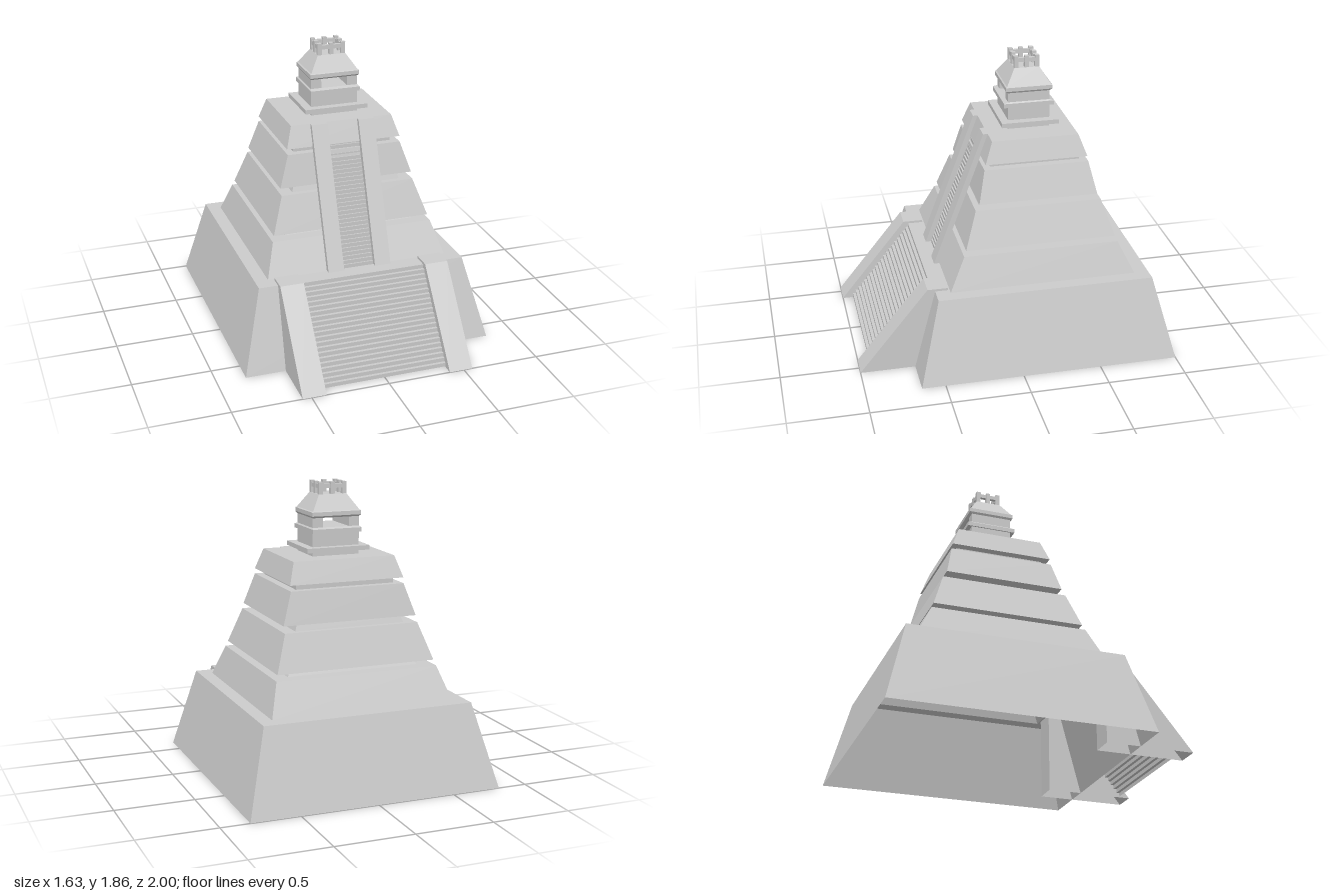
import * as THREE from 'three';

const CZ = -0.175; // z of the pyramid's axis
const mat = new THREE.MeshStandardMaterial({ color: 0xcccccc, flatShading: true, side: THREE.DoubleSide });

function add(parent, name, geo, x = 0, y = 0, z = 0) {
  const mesh = new THREE.Mesh(geo, mat);
  mesh.name = name;
  mesh.position.set(x, y, z);
  parent.add(mesh);
  return mesh;
}

// Skin between successive rows of points, flat shaded
function skin(rows, closed) {
  const pos = [];
  const n = rows[0].length;
  for (let i = 0; i < rows.length - 1; i++) {
    for (let j = 0; j < (closed ? n : n - 1); j++) {
      const k = (j + 1) % n;
      const a = rows[i][j], b = rows[i][k], c = rows[i + 1][k], d = rows[i + 1][j];
      pos.push(...a, ...b, ...c, ...a, ...c, ...d);
    }
  }
  const geo = new THREE.BufferGeometry();
  geo.setAttribute('position', new THREE.Float32BufferAttribute(pos, 3));
  geo.computeVertexNormals();
  return geo;
}

// Rectangular shell from a profile of [y, half width, half depth]
const tower = (profile) => skin(profile.map(([y, w, d]) =>
  [[-w, y, d], [w, y, d], [w, y, -d], [-w, y, -d]]), true);

// Zigzag flight of steps rising from (z0, y0) to (z1, y1)
function steps(count, halfWidth, z0, y0, z1, y1) {
  const rows = [];
  const row = (y, z) => rows.push([[-halfWidth, y, z], [halfWidth, y, z]]);
  for (let i = 0; i < count; i++) {
    const z = z0 + (z1 - z0) * i / count;
    row(y0 + (y1 - y0) * i / count, z);
    row(y0 + (y1 - y0) * (i + 1) / count, z);
  }
  row(y1, z1);
  return skin(rows, false);
}

// Side outline in (z, y) given thickness in x, without faces on the ground
function rail(outline, width) {
  const shape = new THREE.Shape(outline.map(([z, y]) => new THREE.Vector2(z, y)));
  const src = new THREE.ExtrudeGeometry(shape, { depth: width, bevelEnabled: false });
  src.rotateY(-Math.PI / 2).translate(width / 2, 0, 0);
  const p = src.attributes.position, pos = [];
  for (let i = 0; i < p.count; i += 3) {
    if (Math.max(p.getY(i), p.getY(i + 1), p.getY(i + 2)) < 1e-4) continue;
    for (let j = i; j < i + 3; j++) pos.push(p.getX(j), p.getY(j), p.getZ(j));
  }
  const geo = new THREE.BufferGeometry();
  geo.setAttribute('position', new THREE.Float32BufferAttribute(pos, 3));
  geo.computeVertexNormals();
  return geo;
}

export function createModel() {
  const model = new THREE.Group();
  model.name = 'steppedPyramid';

  // Hollow base and four tiers separated by recessed necks
  add(model, 'tiers', tower([
    [0, 0.815, 0.825], [0.53, 0.68, 0.687],
    [0.53, 0.595, 0.595], [0.735, 0.53, 0.495],
    [0.735, 0.43, 0.42], [0.77, 0.41, 0.40],
    [0.77, 0.518, 0.48], [1.0, 0.44, 0.402],
    [1.0, 0.36, 0.365], [1.04, 0.345, 0.35],
    [1.04, 0.44, 0.378], [1.24, 0.375, 0.332],
    [1.24, 0.325, 0.285], [1.275, 0.325, 0.285],
    [1.275, 0.377, 0.325], [1.41, 0.335, 0.275], [1.41, 0, 0],
  ]), 0, 0, CZ);

  // Lower and upper stairways
  add(model, 'lowerSteps', steps(21, 0.405, 0.93, 0.005, 0.51, 0.53));
  add(model, 'upperSteps', steps(36, 0.105, 0.42, 0.53, 0.08, 1.41));
  for (const [side, s] of [['left', 1], ['right', -1]]) {
    add(model, side + 'LowerBalustrade',
      rail([[1, 0], [0.56, 0.545], [0.43, 0.545], [0.43, 0]], 0.152), s * 0.481);
    add(model, side + 'UpperBalustrade',
      rail([[0.457, 0.535], [0.13, 1.41], [0.093, 1.41], [0.42, 0.535]], 0.105), s * 0.156);
  }

  // Temple on the summit
  const temple = new THREE.Group();
  temple.name = 'temple';
  temple.position.z = CZ;
  model.add(temple);
  add(temple, 'templeBody', tower([
    [1.41, 0.155, 0.133], [1.44, 0.155, 0.133],
    [1.44, 0.208, 0.183], [1.468, 0.208, 0.183],
    [1.468, 0.155, 0.133], [1.553, 0.155, 0.133],
    [1.553, 0.163, 0.16], [1.58, 0.163, 0.16],
    [1.588, 0.155, 0.133], [1.588, 0, 0],
  ]));
  for (const s of [1, -1]) {
    add(temple, 'windowWall', new THREE.BoxGeometry(0.068, 0.08, 0.266), s * 0.121, 1.62, 0);
  }
  add(temple, 'roof', tower([
    [1.648, 0, 0], [1.648, 0.155, 0.133], [1.66, 0.163, 0.148], [1.685, 0.163, 0.148],
    [1.69, 0.155, 0.14], [1.787, 0.092, 0.08], [1.787, 0, 0],
  ]));

  // Openwork crest: posts joined by a rail on all four sides
  const t = 0.027, w = 0.092 - t / 2, d = 0.08 - t / 2;
  for (const i of [-1, 0, 1]) {
    for (const j of [-1, 0, 1]) {
      if (i || j) add(temple, 'crestPost', new THREE.BoxGeometry(t, 0.078, t), i * w, 1.823, j * d);
    }
  }
  for (const s of [1, -1]) {
    add(temple, 'crestRail', new THREE.BoxGeometry(2 * w, 0.026, t * 0.8), 0, 1.836, s * d);
    add(temple, 'crestRail', new THREE.BoxGeometry(t * 0.8, 0.026, 2 * d), s * w, 1.836, 0);
  }
  return model;
}
